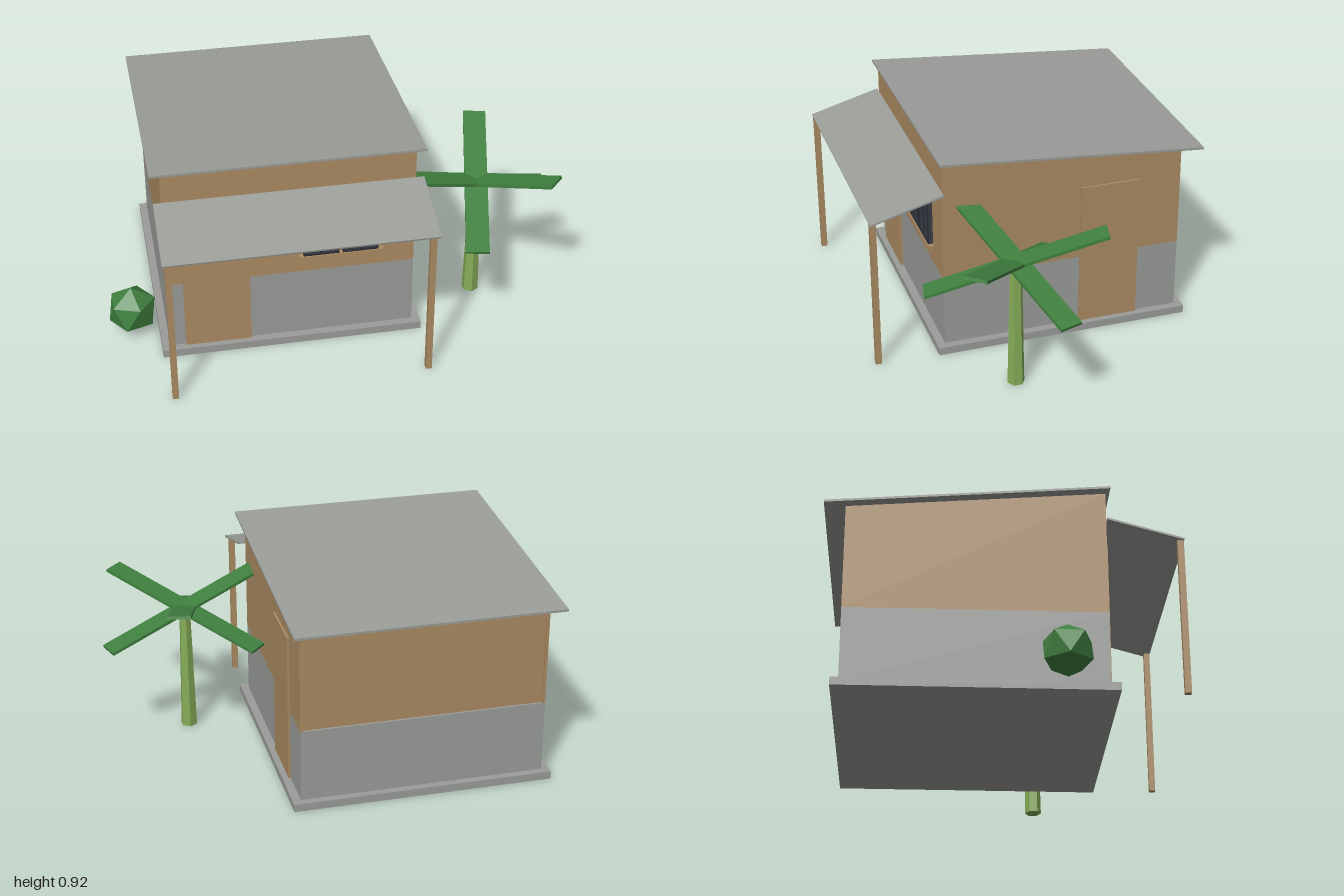
import * as THREE from 'three';

const material = (name, color) => {
  const m = new THREE.MeshStandardMaterial({ color, flatShading: true });
  m.name = name;
  return m;
};

export function createModel() {
  const model = new THREE.Group();
  const concrete = material('concrete grey', 0x9b9d99);
  const wood = material('warm brown', 0xab8b62);
  const glass = material('dark glass', 0x3a3f47);
  const frame = material('window frame', 0x2b2f36);
  const leaf = material('leaf green', 0x40803f);
  const bark = material('trunk green', 0x86ac58);

  const add = (name, geometry, mat, parent = model) => {
    const mesh = new THREE.Mesh(geometry, mat);
    mesh.name = name;
    parent.add(mesh);
    return mesh;
  };
  // Box given by its limits on each axis
  const box = (name, mat, [x0, x1], [y0, y1], [z0, z1], parent) => {
    const g = new THREE.BoxGeometry(x1 - x0, y1 - y0, z1 - z0);
    g.translate((x0 + x1) / 2, (y0 + y1) / 2, (z0 + z1) / 2);
    return add(name, g, mat, parent);
  };
  // Side profile of [z, y] points, extruded from x0 to x1
  const prism = (name, mat, points, x0, x1) => {
    const shape = new THREE.Shape(points.map(([z, y]) => new THREE.Vector2(z, y)));
    const g = new THREE.ExtrudeGeometry(shape, { depth: x1 - x0, bevelEnabled: false });
    g.rotateY(-Math.PI / 2).translate(x1, 0, 0);
    return add(name, g, mat);
  };

  // House body: grey lower wall, brown upper wall under a sloping roof
  const left = -0.757, right = 0.305, front = 0.419, back = -0.652, split = 0.355;
  const roofUnder = z => 0.908 + (z - 0.435) * 0.0826;
  const wallProfile = z0 => [[z0, split], [front, split], [front, roofUnder(front)], [z0, roofUnder(z0)]];
  box('foundation', concrete, [-0.79, 0.34], [0, 0.035], [-0.684, 0.455]);
  box('lowerWall', concrete, [left, right], [0.035, split], [back, front]);
  prism('upperWall', wood, wallProfile(back + 0.01), left + 0.012, right - 0.012);
  prism('rightSideWall', wood, wallProfile(back), left, left + 0.012);
  prism('leftSideWall', wood, wallProfile(back), right - 0.012, right);

  // Roofs
  prism('mainRoof', concrete,
    [[-0.739, 0.811], [0.435, 0.908], [0.435, 0.918], [-0.739, 0.821]], -0.8, 0.346);
  prism('porchRoof', concrete,
    [[front, 0.766], [0.733, 0.679], [0.735, 0.687], [front, 0.775]], -0.79, 0.34);
  for (const x of [-0.78, 0.299]) {
    box('porchPost', wood, [x, x + 0.026], [0, 0.682], [0.706, 0.732]);
  }

  // Doors
  box('frontDoor', wood, [-0.687, -0.404], [0.035, 0.705], [front - 0.01, front + 0.011]);
  box('sideDoor', wood, [right - 0.01, right + 0.009], [0.035, 0.695], [-0.462, -0.194]);

  // Window: two casements with crossed bars above a sill
  const windowGroup = new THREE.Group();
  windowGroup.name = 'window';
  model.add(windowGroup);
  const y0 = 0.445, y1 = 0.71, bar = 0.008;
  for (const x0 of [-0.174, -0.006]) {
    const x1 = x0 + 0.153;
    const z = [front, 0.441];
    box('pane', glass, [x0, x1], [y0, y1], [front, 0.436], windowGroup);
    for (const x of [x0, (x0 + x1 - bar) / 2, x1 - bar]) {
      box('uprightBar', frame, [x, x + bar], [y0, y1], z, windowGroup);
    }
    for (const y of [y0, (y0 + y1 - bar) / 2, y1 - bar]) {
      box('crossBar', frame, [x0, x1], [y, y + bar], z, windowGroup);
    }
  }
  box('windowSill', wood, [-0.195, 0.168], [0.422, y0], [front, 0.446], windowGroup);

  // Palm: tapered six-sided trunk and three tilted planks as fronds
  const palm = new THREE.Group();
  palm.name = 'palm';
  palm.position.set(0.628, 0, 0.202);
  model.add(palm);
  add('trunk', new THREE.CylinderGeometry(0.025, 0.0375, 0.58, 6).translate(0, 0.29, 0), bark, palm);
  for (const degrees of [77.5, 197.5, 317.5]) {
    const frond = add('frond', new THREE.BoxGeometry(0.79, 0.013, 0.1), leaf, palm);
    frond.position.y = 0.58;
    frond.rotation.set(0, THREE.MathUtils.degToRad(degrees), THREE.MathUtils.degToRad(17.5), 'YXZ');
  }

  // Bush standing on one point
  const bush = new THREE.IcosahedronGeometry(0.112, 0);
  bush.rotateZ(Math.atan(2 / (1 + Math.sqrt(5)))).rotateY(Math.PI);
  add('bush', bush, leaf).position.set(-0.9, 0.115, 0.237);

  return model;
}
